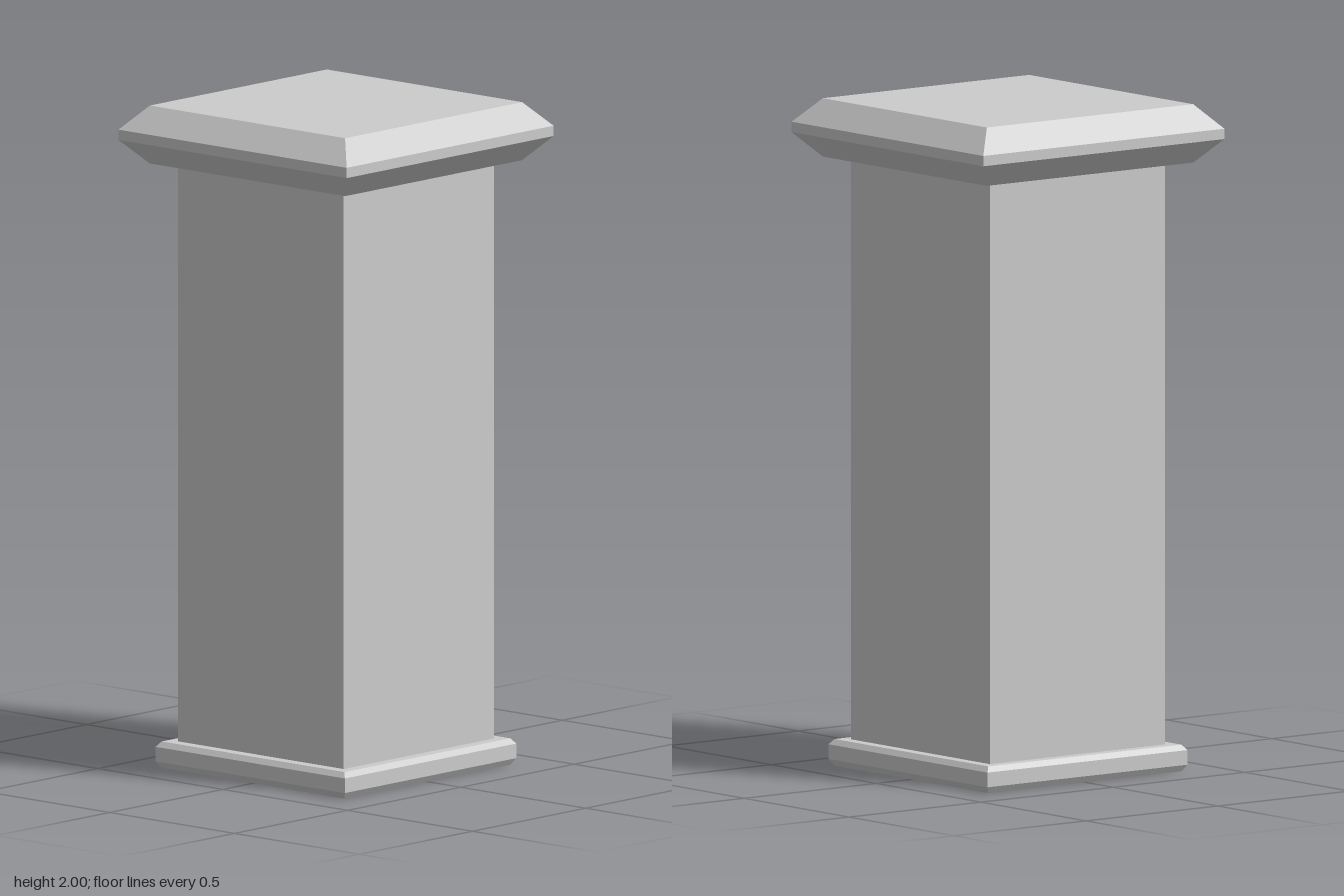
import * as THREE from 'three';

const material = new THREE.MeshStandardMaterial({ color: 0xcccccc, flatShading: true });

// Square moulding: profile of [half width, height] from bottom to top, swept around four sides
function squareProfile(name, profile) {
  const points = profile.map(([half, y]) => new THREE.Vector2(half * Math.SQRT2, y));
  const geometry = new THREE.LatheGeometry(points, 4, Math.PI / 4).toNonIndexed();
  geometry.computeVertexNormals();
  const mesh = new THREE.Mesh(geometry, material);
  mesh.name = name;
  return mesh;
}

export function createModel() {
  const group = new THREE.Group();
  group.name = 'pillar';

  // Thin plinth with small bevels above and below
  group.add(squareProfile('base', [
    [0, 0], [0.366, 0], [0.379, 0.02], [0.379, 0.064], [0.366, 0.08], [0, 0.08],
  ]));

  // Plain square shaft
  const shaft = new THREE.Mesh(new THREE.BoxGeometry(0.664, 1.77, 0.664), material);
  shaft.name = 'shaft';
  shaft.position.y = 0.95;
  group.add(shaft);

  // Overhanging cap with wide bevels around a narrow edge band
  group.add(squareProfile('cap', [
    [0, 1.825], [0.391, 1.825], [0.457, 1.897], [0.457, 1.928], [0.391, 2], [0, 2],
  ]));

  return group;
}
